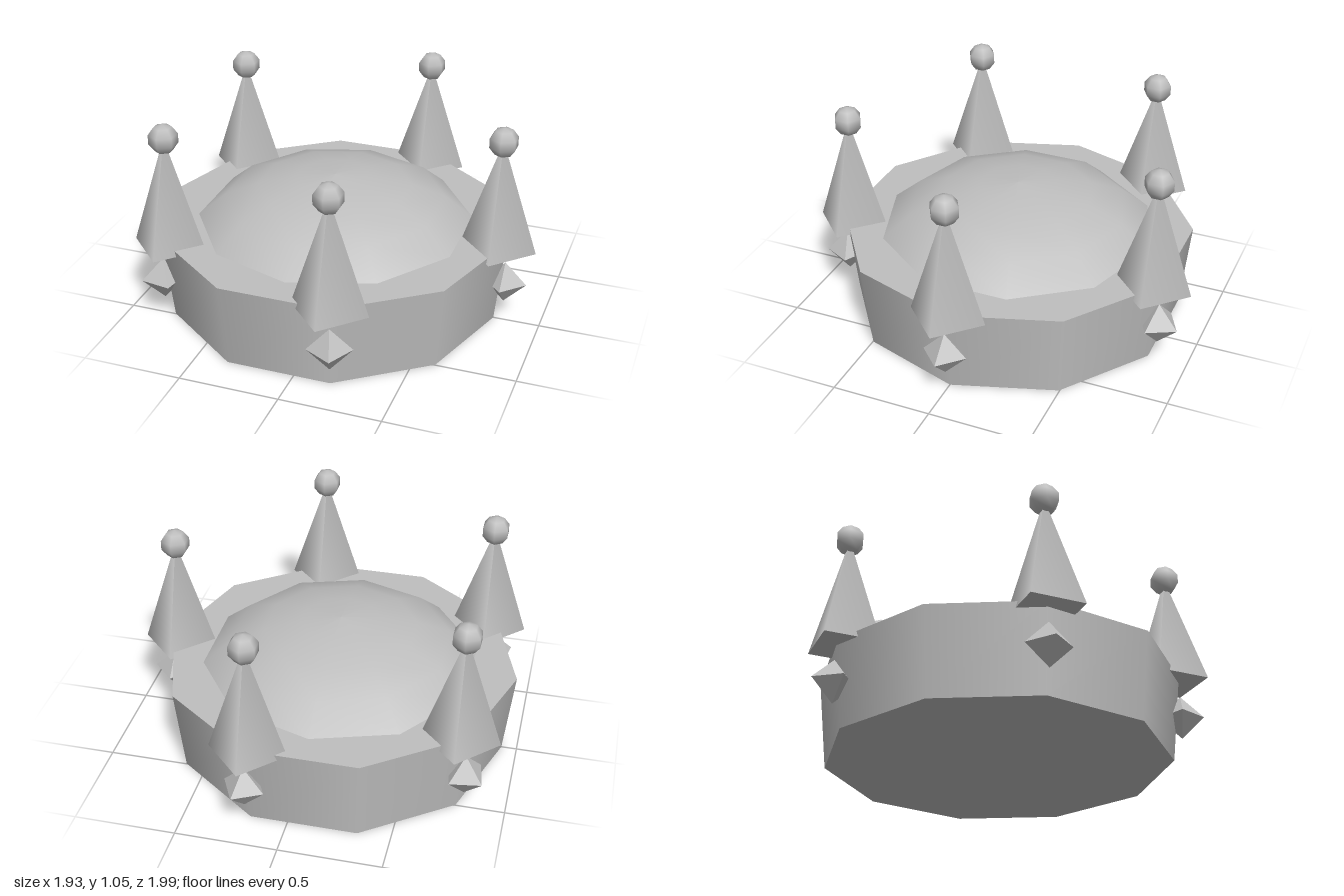
import * as THREE from 'three';

const CENTER_X = -0.078; // the five-fold ring sits off centre in x

export function createModel() {
  const crown = new THREE.Group();
  crown.name = 'crown';
  const grey = new THREE.MeshStandardMaterial({ color: 0xbfbfbf });
  grey.name = 'plain grey';

  const add = (name, geometry, x, y, z, turn = 0) => {
    const mesh = new THREE.Mesh(geometry, grey);
    mesh.name = name;
    mesh.position.set(x, y, z);
    mesh.rotation.y = turn;
    crown.add(mesh);
    return mesh;
  };

  // Ten-sided band, flaring upwards, closed at top and bottom
  add('band', new THREE.CylinderGeometry(0.89, 0.845, 0.435, 10), CENTER_X, 0.2175, 0, Math.PI / 2);

  // Shallow ten-sided cushion: the cap of a squashed sphere
  const profile = [];
  for (let i = 4; i >= 0; i--) {
    const a = (i * Math.PI) / 14;
    profile.push(new THREE.Vector2(0.89 * Math.sin(a), 0.126 + 0.544 * Math.cos(a)));
  }
  profile[0].y = 0.434;
  profile[4].x = 0;
  add('cushion', new THREE.LatheGeometry(profile, 10), CENTER_X, 0, 0);

  // Five spikes with balls on top and gems on the band below
  const spike = new THREE.ConeGeometry(0.19, 0.575, 4);
  const ball = new THREE.SphereGeometry(0.075, 6, 5);
  const gem = new THREE.OctahedronGeometry(0.11);
  for (let i = 0; i < 5; i++) {
    const a = (i * 2 * Math.PI) / 5;
    const x = CENTER_X + 0.846 * Math.cos(a);
    const z = 0.846 * Math.sin(a);
    add('spike', spike, x, 0.405 + 0.575 / 2, z);
    add('spikeBall', ball, x, 0.978, z, Math.PI / 2);
    add('gem', gem, CENTER_X + 0.89 * Math.cos(a), 0.22, 0.89 * Math.sin(a), -a);
  }
  return crown;
}
